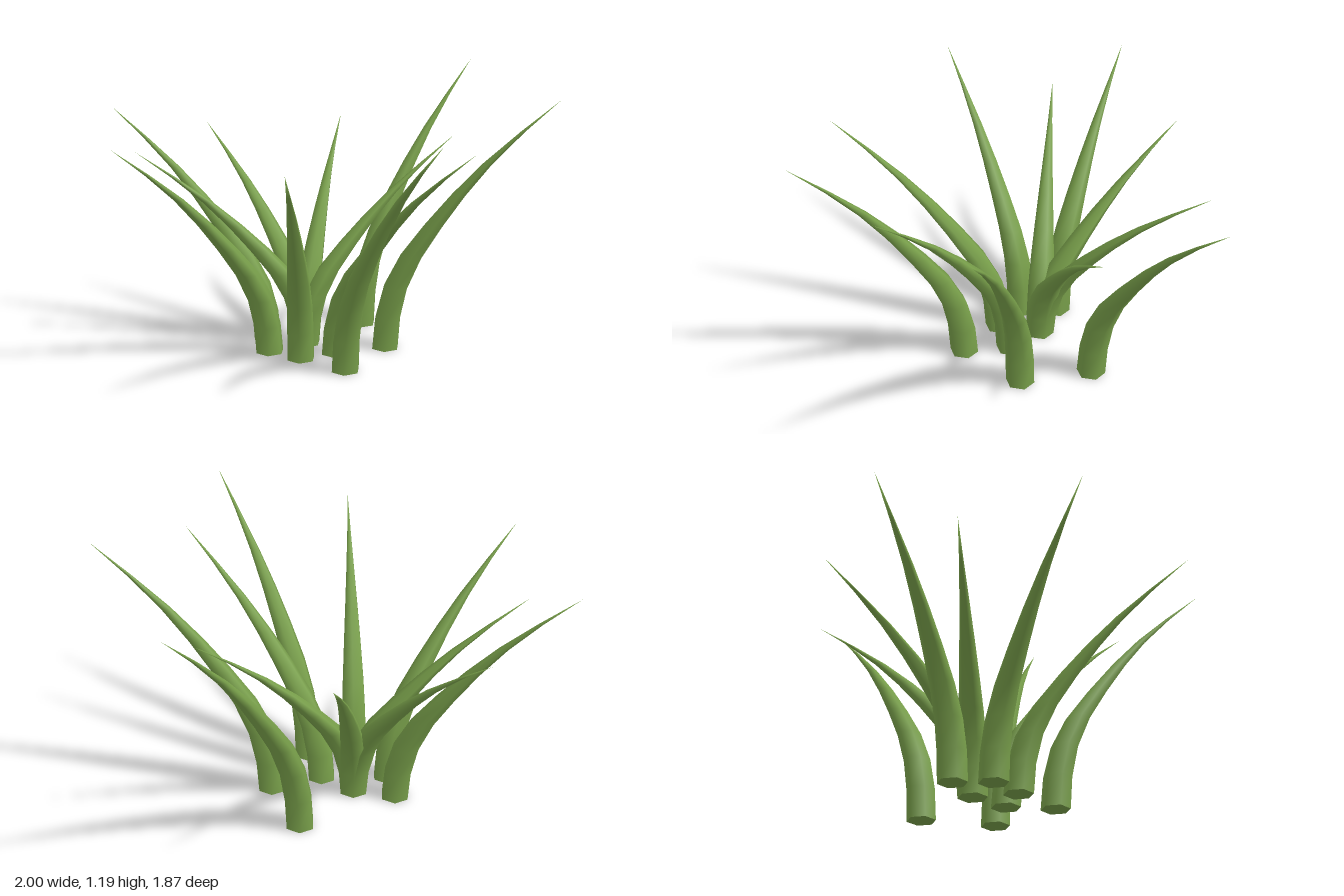
import * as THREE from 'three';
import { mergeGeometries, mergeVertices } from 'three/addons/utils/BufferGeometryUtils.js';

const BASE_RADIUS = 0.066;
const REACH = 0.76;

// Rows of a blade at even heights: outward lean and thickness, as fractions
const ROWS = [
  [0, 1],
  [0.015, 0.98],
  [0.06, 0.93],
  [0.15, 0.83],
  [0.28, 0.68],
  [0.425, 0.51],
  [0.59, 0.33],
  [0.785, 0.15],
  [1, 0],
];

// Blades: base x, base z, tip x, tip z, height
const BLADES = [
  [0.285, -0.33, 1.0, -0.59, 1.19],
  [0.25, 0.0, 0.89, 0.41, 1.19],
  [-0.035, 0.18, 0.03, 0.93, 1.19],
  [0.01, -0.03, 0.33, 0.65, 1.06],
  [-0.16, -0.03, -0.505, 0.64, 1.06],
  [-0.255, -0.17, -1.0, -0.04, 1.06],
  [-0.2, -0.33, -0.765, -0.84, 1.06],
  [-0.06, -0.2, -0.765, -0.49, 0.92],
  [-0.06, -0.2, -0.265, -0.93, 0.92],
  [-0.06, -0.2, 0.39, -0.805, 0.92],
  [-0.06, -0.2, 0.69, -0.2, 0.92],
];

// Six-sided tapering stem whose level cross-sections drift outwards
function bladeGeometry(angle, height) {
  const steps = ROWS.length - 1;
  let side = new THREE.CylinderGeometry(0, 1, 1, 6, steps, true, Math.PI / 6);
  const p = side.attributes.position;
  for (let i = 0; i < p.count; i++) {
    const t = p.getY(i) + 0.5;
    const [lean, thick] = ROWS[Math.round(t * steps)];
    const r = t > 0.999 ? 0 : (BASE_RADIUS * thick) / (1 - t);
    p.setXYZ(
      i,
      p.getX(i) * r + Math.cos(angle) * lean * REACH,
      t * height,
      p.getZ(i) * r + Math.sin(angle) * lean * REACH,
    );
  }
  // Weld the seam for smooth shading
  side.deleteAttribute('uv');
  side.deleteAttribute('normal');
  side = mergeVertices(side);
  side.computeVertexNormals();

  // Flat underside
  const cap = new THREE.CircleGeometry(BASE_RADIUS, 6).rotateX(Math.PI / 2);
  cap.deleteAttribute('uv');
  return mergeGeometries([side, cap]);
}

export function createModel() {
  const plant = new THREE.Group();
  plant.name = 'grassTuft';
  const leafGreen = new THREE.MeshStandardMaterial({ color: 0x789f4a });
  leafGreen.name = 'leafGreen';

  BLADES.forEach(([bx, bz, tx, tz, height], i) => {
    const blade = new THREE.Mesh(bladeGeometry(Math.atan2(tz - bz, tx - bx), height), leafGreen);
    blade.name = `blade${i + 1}`;
    blade.position.set(bx, 0, bz);
    plant.add(blade);
  });
  return plant;
}
